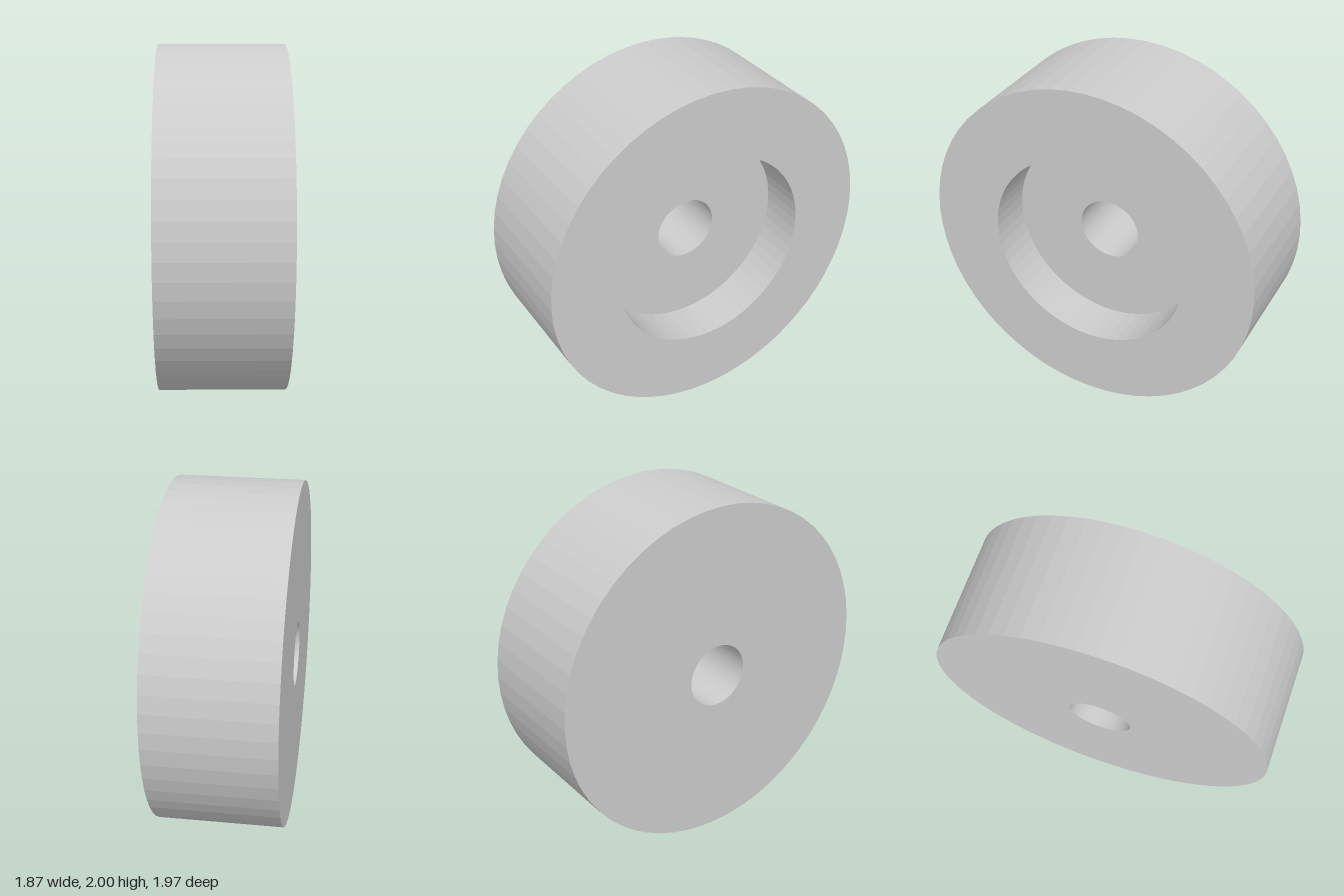
import * as THREE from 'three';

export function createModel() {
  const group = new THREE.Group();
  const half = 0.36, floor = 0.09; // axial positions
  const outer = 1, recess = 0.592, bore = 0.185; // radii

  // Closed cross-section: back face, rim, front face, recess, bore
  const profile = [
    [bore, -half], [outer, -half], [outer, half], [recess, half],
    [recess, floor], [bore, floor], [bore, -half],
  ].map(([r, y]) => new THREE.Vector2(r, y));

  const geometry = new THREE.LatheGeometry(profile, 60);
  geometry.rotateX(Math.PI / 2); // axis to +z, recess facing forward
  geometry.rotateY(THREE.MathUtils.degToRad(48.4)); // turned toward its left

  const wheel = new THREE.Mesh(
    geometry,
    new THREE.MeshStandardMaterial({ color: 0xcccccc, flatShading: true })
  );
  wheel.name = 'recessedWheel';
  wheel.position.y = outer;
  group.add(wheel);
  return group;
}
